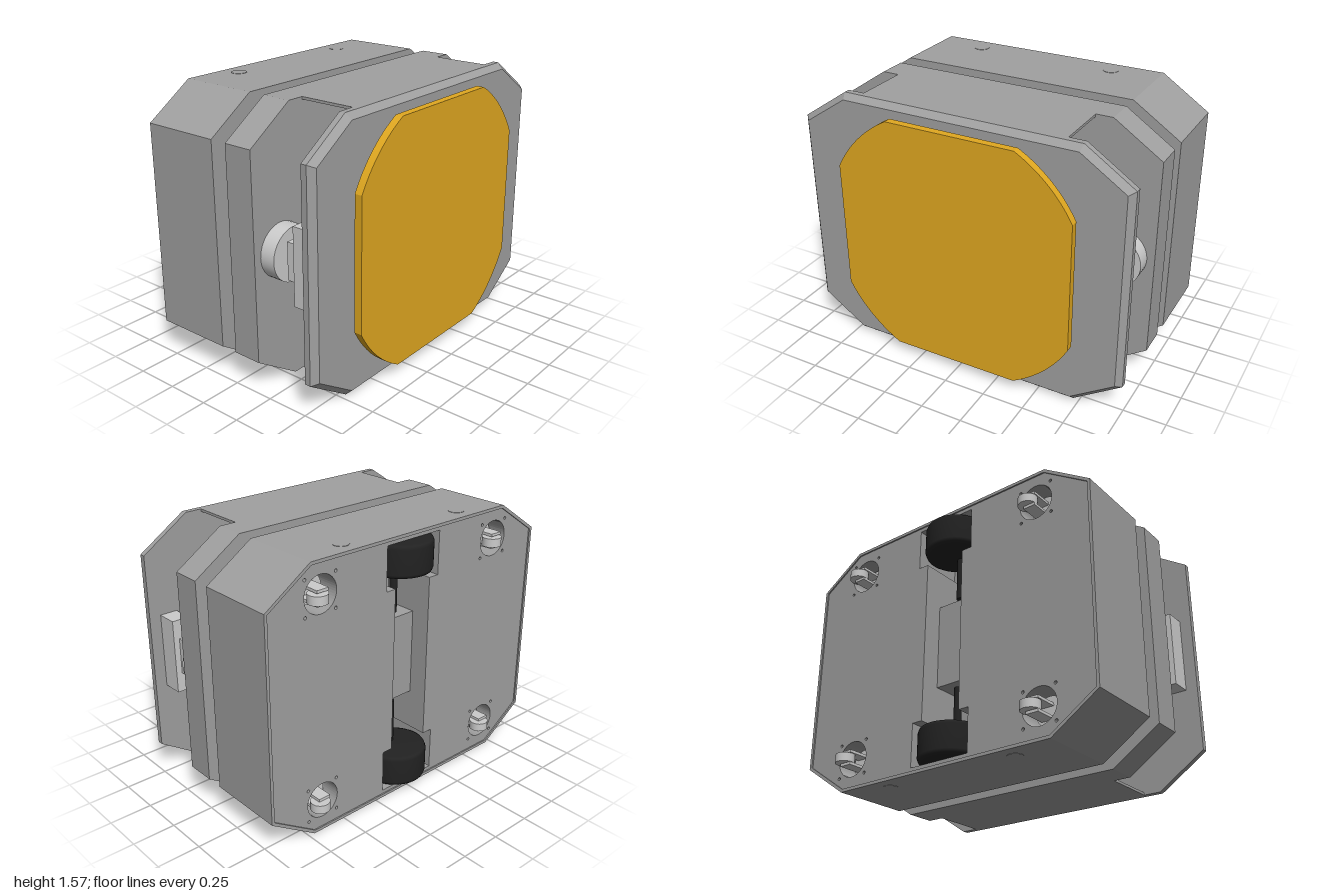
import * as THREE from 'three';

const MID = 0.785; // height of the axis of symmetry
const mat = (color) => new THREE.MeshStandardMaterial({ color });

export function createModel() {
  const root = new THREE.Group();
  const body = mat(0xa0a0a0), grey = mat(0xcccccc), yellow = mat(0xe0a820), black = mat(0x222222);

  const add = (name, geometry, material, x = 0, y = 0, z = 0) => {
    const mesh = new THREE.Mesh(geometry, material);
    mesh.name = name;
    mesh.position.set(x, y, z);
    root.add(mesh);
    return mesh;
  };
  const box = (name, m, x0, x1, y0, y1, z0, z1) =>
    add(name, new THREE.BoxGeometry(x1 - x0, y1 - y0, z1 - z0), m, (x0 + x1) / 2, (y0 + y1) / 2, (z0 + z1) / 2);
  const discZ = (name, m, r, x, y, z0, z1) =>
    add(name, new THREE.CylinderGeometry(r, r, z1 - z0, 48).rotateX(Math.PI / 2), m, x, y, (z0 + z1) / 2);

  // Eight-sided outline: half width, half height and the ends of the flats
  const octPoints = (w, h, fx, fy) =>
    [[fx, -h], [w, -fy], [w, fy], [fx, h], [-fx, h], [-w, fy], [-w, -fy], [-fx, -h]]
      .map(([x, y]) => new THREE.Vector2(x, y + MID));
  const outline = (inset = 0) => octPoints(1 - inset, MID - inset, 0.715 - inset * 0.3, 0.595 - inset * 0.5);
  const slab = (name, m, shape, z0, z1) =>
    add(name, new THREE.ExtrudeGeometry(shape, { depth: z1 - z0, bevelEnabled: false, curveSegments: 24 }), m, 0, 0, z0);
  const circle = (x, y, r) => new THREE.Path().absarc(x, y, r, 0, Math.PI * 2, true);

  // Base: solid upper part, then a pierced floor with a small rim
  slab('baseUpper', body, new THREE.Shape(outline()), -0.25, -0.10);
  const floor = new THREE.Shape(outline());
  const a = 0.195, b = 0.13, top = 0.745, in1 = 0.49;
  floor.holes.push(new THREE.Path(
    [[-a, -top], [-a, -in1], [-b, -in1], [-b, in1], [-a, in1], [-a, top],
      [a, top], [a, in1], [b, in1], [b, -in1], [a, -in1], [a, -top]]
      .map(([x, y]) => new THREE.Vector2(x, y + MID))));
  const casters = [];
  for (const sx of [-1, 1]) for (const sy of [-1, 1]) casters.push([sx * 0.648, MID + sy * 0.6]);
  for (const [x, y] of casters) {
    floor.holes.push(circle(x, y, 0.105));
    for (let i = 0; i < 4; i++) {
      const t = Math.PI / 4 + i * Math.PI / 2;
      floor.holes.push(circle(x + Math.cos(t) * 0.14, y + Math.sin(t) * 0.14, 0.009));
    }
  }
  slab('baseFloor', body, floor, -0.567, -0.25);
  const rim = new THREE.Shape(outline());
  rim.holes.push(new THREE.Path(outline(0.018)));
  slab('baseRim', body, rim, -0.575, -0.567);
  box('channelBlock', body, -b, b, 0.53, 1.04, -0.45, -0.25);

  // Round plugs on the top and bottom faces of the base
  for (const x of [-0.43, 0.43]) for (const y of [0, 2 * MID])
    add('plug', new THREE.CylinderGeometry(0.045, 0.045, 0.004, 32), body, x, y, -0.47);

  // Drive wheels with rounded shoulders, and their shafts
  const tyre = [[0, -0.095], [0.16, -0.095], [0.178, -0.088], [0.185, -0.07],
    [0.185, 0.07], [0.178, 0.088], [0.16, 0.095], [0, 0.095]].map(([x, y]) => new THREE.Vector2(x, y));
  for (const s of [-1, 1]) {
    add('driveWheel', new THREE.LatheGeometry(tyre, 64), black, 0, MID + s * 0.64, -0.46);
    add('driveShaft', new THREE.CylinderGeometry(0.022, 0.022, 0.3, 20), black, 0, MID + s * 0.43, -0.42);
  }

  // Swivel casters in round pockets
  for (const [x, y] of casters) {
    discZ('casterSwivel', grey, 0.085, x, y, -0.47, -0.25);
    add('casterWheel', new THREE.CylinderGeometry(0.055, 0.055, 0.05, 32), grey, x + 0.037, y, -0.59);
    for (const s of [-1, 1])
      box('casterFork', grey, x - 0.02, x + 0.055, y + s * 0.036 - 0.008, y + s * 0.036 + 0.008, -0.605, -0.46);
  }

  // Neck and middle section
  slab('neck', body, new THREE.Shape(octPoints(0.83, 0.635, 0.6, 0.48)), -0.10, 0);
  slab('middleSection', body, new THREE.Shape(outline()), 0, 0.175);

  // Thin walls bridging the open bay
  for (const y of [0, 2 * MID - 0.015]) box('bayWall', body, -0.615, 0.615, y, y + 0.015, 0.175, 0.505);

  // Front plate with a chamfered edge
  slab('frontPlate', body, new THREE.Shape(outline()), 0.505, 0.54);
  const outer = outline(), inner = outline(0.033), pos = [];
  for (let i = 0; i < 8; i++) {
    const j = (i + 1) % 8;
    const p = [outer[i], outer[j], inner[j], inner[i]].map((v, k) => [v.x, v.y, k < 2 ? 0.54 : 0.575]);
    pos.push(...p[0], ...p[1], ...p[2], ...p[0], ...p[2], ...p[3]);
  }
  const chamfer = new THREE.BufferGeometry();
  chamfer.setAttribute('position', new THREE.Float32BufferAttribute(pos, 3));
  chamfer.computeVertexNormals();
  add('frontPlateChamfer', chamfer, body);
  add('frontPlateFace', new THREE.ShapeGeometry(new THREE.Shape(inner)), body, 0, 0, 0.575);

  // Turntable: round hub and a disc cut flat on four sides
  discZ('turntableHub', yellow, 0.357, 0, MID, 0.575, 0.605);
  const R = 0.812, t0 = Math.atan2(0.385, 0.715), t1 = Math.PI / 2 - t0;
  const plate = new THREE.Shape();
  for (let q = 0; q < 4; q++) plate.absarc(0, MID, R, q * Math.PI / 2 + t0, q * Math.PI / 2 + t1, false);
  plate.closePath();
  slab('turntablePlate', yellow, plate, 0.6, 0.645);

  // Sensors in the open bay
  discZ('centrePost', yellow, 0.118, 0, MID, 0.175, 0.385);
  for (const s of [-1, 1]) {
    discZ('scanner', grey, 0.155, s * 0.8, MID, 0.175, 0.267);
    const span = (p, q) => (s > 0 ? [p, q] : [-q, -p]);
    box('cameraBox', grey, ...span(0.825, 0.93), 0.565, 1.01, 0.38, 0.507);
    box('cameraMount', grey, ...span(0.55, 0.895), 0.68, 0.895, 0.307, 0.385);
  }
  return root;
}
